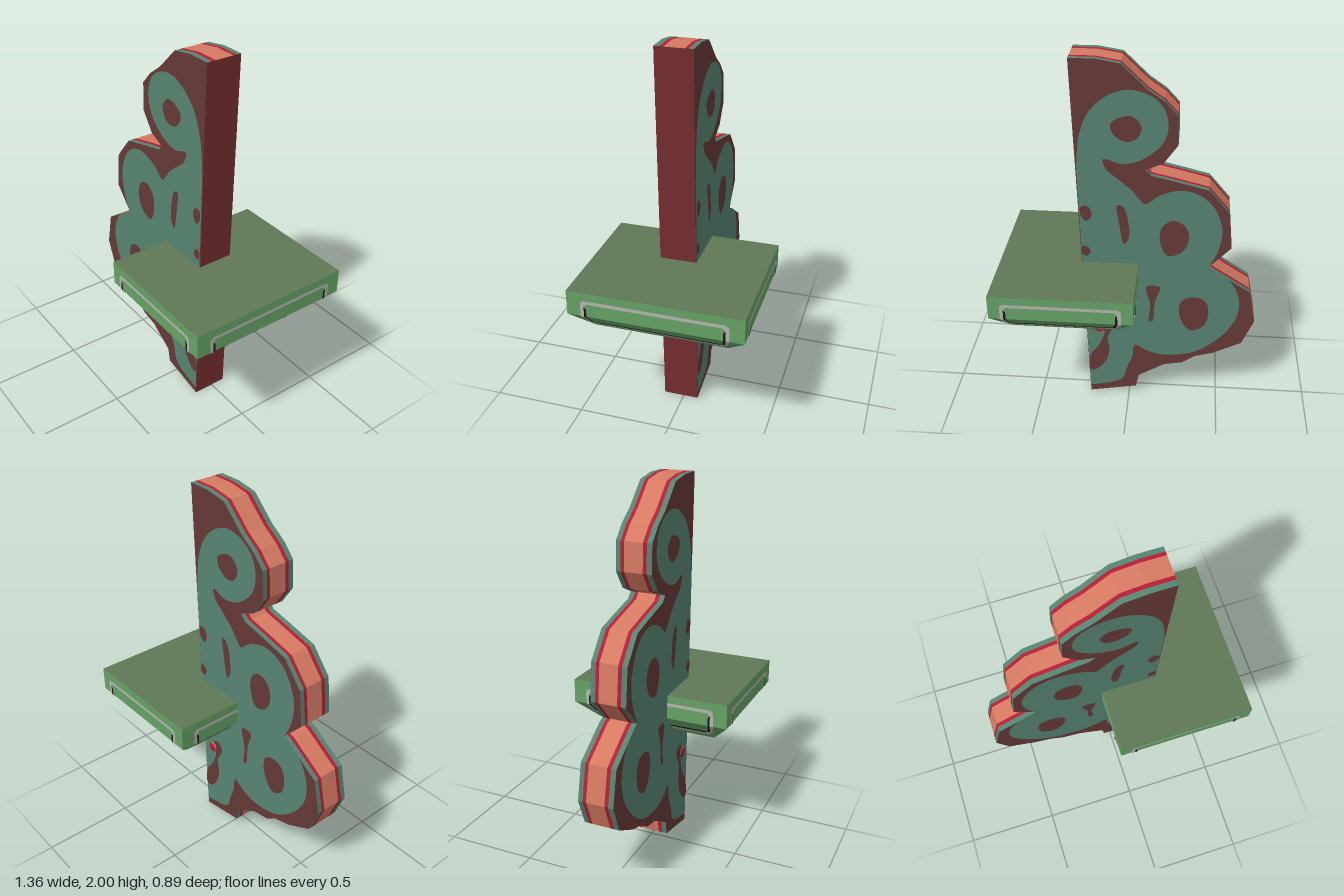
import * as THREE from 'three';

const mat = (name, color) => Object.assign(new THREE.MeshStandardMaterial({ color }), { name });
const V = (pts) => pts.map(([x, y]) => new THREE.Vector2(x, y));

// Board thickness
const BACK = -0.08, FRONT = 0.11;

// Scalloped board silhouette, clockwise from the lower right corner
const OUTLINE = [
  [0.22, 0], [-0.04, 0.05], [-0.055, 0.13], [-0.2, 0.22], [-0.3, 0.24], [-0.37, 0.29],
  [-0.47, 0.32], [-0.62, 0.4], [-0.68, 0.55], [-0.64, 0.74], [-0.44, 0.87], [-0.41, 0.88],
  [-0.53, 1.01], [-0.51, 1.21], [-0.4, 1.34], [-0.24, 1.38], [-0.11, 1.41], [-0.08, 1.44],
  [-0.17, 1.48], [-0.24, 1.58], [-0.235, 1.73], [-0.17, 1.8], [-0.085, 1.86], [0.04, 1.98],
  [0.16, 2], [0.285, 2],
];

// Curled painted field; closes along the straight right edge
const SCROLL = [
  [0.22, 0.04], [0.05, 0.09], [0.01, 0.19], [-0.02, 0.27], [-0.025, 0.33], [-0.04, 0.35],
  [-0.11, 0.31], [-0.21, 0.29], [-0.36, 0.32], [-0.49, 0.42], [-0.575, 0.55], [-0.59, 0.68],
  [-0.54, 0.8], [-0.45, 0.865], [-0.42, 0.885], [-0.465, 1.0], [-0.475, 1.13], [-0.425, 1.25],
  [-0.35, 1.315], [-0.255, 1.335], [-0.15, 1.3], [-0.085, 1.25], [-0.05, 1.28], [-0.01, 1.33],
  [0.06, 1.39], [0.115, 1.44], [0.125, 1.495], [0.03, 1.47], [-0.07, 1.5], [-0.16, 1.58],
  [-0.19, 1.675], [-0.165, 1.77], [-0.1, 1.83], [0, 1.855], [0.1, 1.825], [0.19, 1.745],
  [0.24, 1.63], [0.255, 1.53], [0.262, 1.43],
];

// Closed marks drawn over the painted field
const BLOBS = [
  [[-0.06, 1.67], [-0.02, 1.72], [0.03, 1.72], [0.09, 1.68], [0.07, 1.62], [0.01, 1.59], [-0.04, 1.61]],
  [[-0.31, 1.07], [-0.28, 1.14], [-0.22, 1.16], [-0.17, 1.12], [-0.16, 1.04], [-0.2, 0.95], [-0.28, 0.98]],
  [[-0.43, 0.6], [-0.41, 0.67], [-0.35, 0.695], [-0.28, 0.66], [-0.28, 0.55], [-0.34, 0.47], [-0.41, 0.51]],
  [[0.06, 1.24], [0.05, 1.13], [0.025, 1.01], [0, 1.05], [0.01, 1.18], [0.03, 1.23]],
  [[0.19, 1.18], [0.21, 1.225], [0.242, 1.225], [0.25, 1.18], [0.22, 1.14]],
  [[0.2, 0.96], [0.225, 0.99], [0.245, 0.985], [0.245, 0.94], [0.22, 0.93]],
  [[-0.165, 0.75], [-0.095, 0.75], [-0.115, 0.63], [-0.11, 0.52], [-0.13, 0.53], [-0.14, 0.65]],
  [[0.08, 0.48], [0.1, 0.52], [0.14, 0.52], [0.155, 0.48], [0.135, 0.43], [0.15, 0.38], [0.18, 0.32],
    [0.215, 0.27], [0.222, 0.16], [0.19, 0.16], [0.135, 0.22], [0.11, 0.31], [0.12, 0.39], [0.1, 0.44]],
];

// Quad strip between two matching lists of 3D points
function strip(a, b) {
  const pos = [];
  for (let i = 0; i < a.length - 1; i++) {
    pos.push(...a[i], ...b[i], ...b[i + 1], ...a[i], ...b[i + 1], ...a[i + 1]);
  }
  const g = new THREE.BufferGeometry();
  g.setAttribute('position', new THREE.Float32BufferAttribute(pos, 3));
  g.computeVertexNormals();
  return g;
}

// Flat shape facing away from the board, on either side of it
function plate(shape, side, lift) {
  const g = new THREE.ShapeGeometry(shape, 8);
  if (side < 0) {
    const idx = g.index.array;
    for (let i = 0; i < idx.length; i += 3) [idx[i], idx[i + 1]] = [idx[i + 1], idx[i]];
    g.computeVertexNormals();
  }
  g.translate(0, 0, side > 0 ? FRONT + lift : BACK - lift);
  return g;
}

// Outline of a shelf side panel, inset by t; folds at the chamfer line
const FOLD = 0.76, CHAMFER = 0.1 / 0.11;
function panelLine(w, t, lift) {
  const a = w - t, top = 0.85 - t, low = 0.675 + t;
  const right = [[a - 0.05, low], [a - 0.015, FOLD - 0.055], [a, FOLD], [a, top - 0.015], [a - 0.015, top]];
  const left = right.map(([x, y]) => [-x, y]).reverse();
  return [...right, ...left, right[0]].map(([x, y]) => [x, y, lift - Math.max(0, FOLD - y) * CHAMFER]);
}

export function createModel() {
  const root = new THREE.Group();
  const teal = mat('teal paint', 0x568471);
  const maroon = mat('maroon face', 0x653938);
  const edge = mat('dark red edge', 0x772d2f);
  const salmon = mat('salmon edge band', 0xd67a62);
  const red = mat('red line', 0xb41e34);
  const green = mat('shelf green', 0x66a266);
  const olive = mat('shelf top olive', 0x5f7855);
  const grey = mat('light grey trim', 0xb4b6b0);
  const black = mat('black trim', 0x14180f);
  grey.side = black.side = THREE.DoubleSide;

  const add = (parent, name, geometry, material) => {
    const m = new THREE.Mesh(geometry, material);
    m.name = name;
    parent.add(m);
    return m;
  };

  // Board faces with painted scrolls
  const board = new THREE.Group();
  board.name = 'scrollBoard';
  root.add(board);
  const face = new THREE.Shape(V(OUTLINE));
  const scroll = new THREE.Shape(new THREE.SplineCurve(V(SCROLL)).getPoints(150));
  const closed = (pts) => {
    const c = new THREE.CatmullRomCurve3(pts.map(([x, y]) => new THREE.Vector3(x, y, 0)), true);
    return new THREE.Shape(c.getPoints(pts.length * 5).slice(0, -1).map((p) => new THREE.Vector2(p.x, p.y)));
  };
  const spot = (x, y, r) => new THREE.Shape().absarc(x, y, r, 0, Math.PI * 2);
  for (const side of [1, -1]) {
    const label = side > 0 ? 'front' : 'back';
    add(board, label + 'Face', plate(face, side, 0), maroon);
    add(board, label + 'Scroll', plate(scroll, side, 0.002), teal);
    BLOBS.forEach((b, i) => add(board, label + 'Mark' + (i + 1), plate(closed(b), side, 0.004), maroon));
    add(board, label + 'SpotGlow', plate(spot(0.155, 0.475, 0.025), side, 0.005), salmon);
    add(board, label + 'Spot', plate(spot(0.165, 0.46, 0.027), side, 0.006), red);
  }

  // Board edges: plain on the straight side and bottom, striped around the scallops
  const wall = (pts, z0, z1) => strip(pts.map(([x, y]) => [x, y, z0]), pts.map(([x, y]) => [x, y, z1]));
  add(board, 'plainEdge', wall([OUTLINE.at(-1), OUTLINE[0], OUTLINE[1]], BACK, FRONT), edge);
  const bands = [BACK, -0.055, -0.037, 0.062, 0.082, FRONT];
  [teal, red, salmon, red, teal].forEach((m, i) =>
    add(board, 'edgeBand' + (i + 1), wall(OUTLINE.slice(1), bands[i], bands[i + 1]), m));

  // Shelf block with chamfered underside
  const shelf = new THREE.Group();
  shelf.name = 'shelf';
  shelf.position.x = 0.315;
  root.add(shelf);
  const HX = 0.365, HZ = 0.4425;
  const block = new THREE.BoxGeometry(HX * 2, 2, HZ * 2, 1, 2, 1);
  const p = block.attributes.position;
  for (let i = 0; i < p.count; i++) {
    const y = p.getY(i);
    const inset = y < -0.5 ? 0.1 : 0;
    p.setXYZ(i, Math.sign(p.getX(i)) * (HX - inset), y > 0.5 ? 0.89 : y < -0.5 ? 0.65 : FOLD,
      Math.sign(p.getZ(i)) * (HZ - inset));
  }
  const flat = block.toNonIndexed();
  flat.computeVertexNormals();
  add(shelf, 'shelfBlock', flat, [green, green, olive, olive, green, green]);

  // Inlaid trim on the four shelf sides
  for (let i = 0; i < 4; i++) {
    const [w, d] = i % 2 ? [0.37, HX] : [0.305, HZ];
    const trim = new THREE.Group();
    trim.name = 'sideTrim' + (i + 1);
    trim.rotation.y = (i * Math.PI) / 2;
    shelf.add(trim);
    const line = (t) => panelLine(w, t, d + 0.004);
    add(trim, 'outerTrim', strip(line(0.018), line(0)), grey);
    // the dark line leaves the top run open
    const inner = line(0.03), outer = line(0.018);
    for (const [a, b] of [[0, 4], [6, 11]]) {
      add(trim, 'innerTrim', strip(inner.slice(a, b), outer.slice(a, b)), black);
    }
  }
  return root;
}
